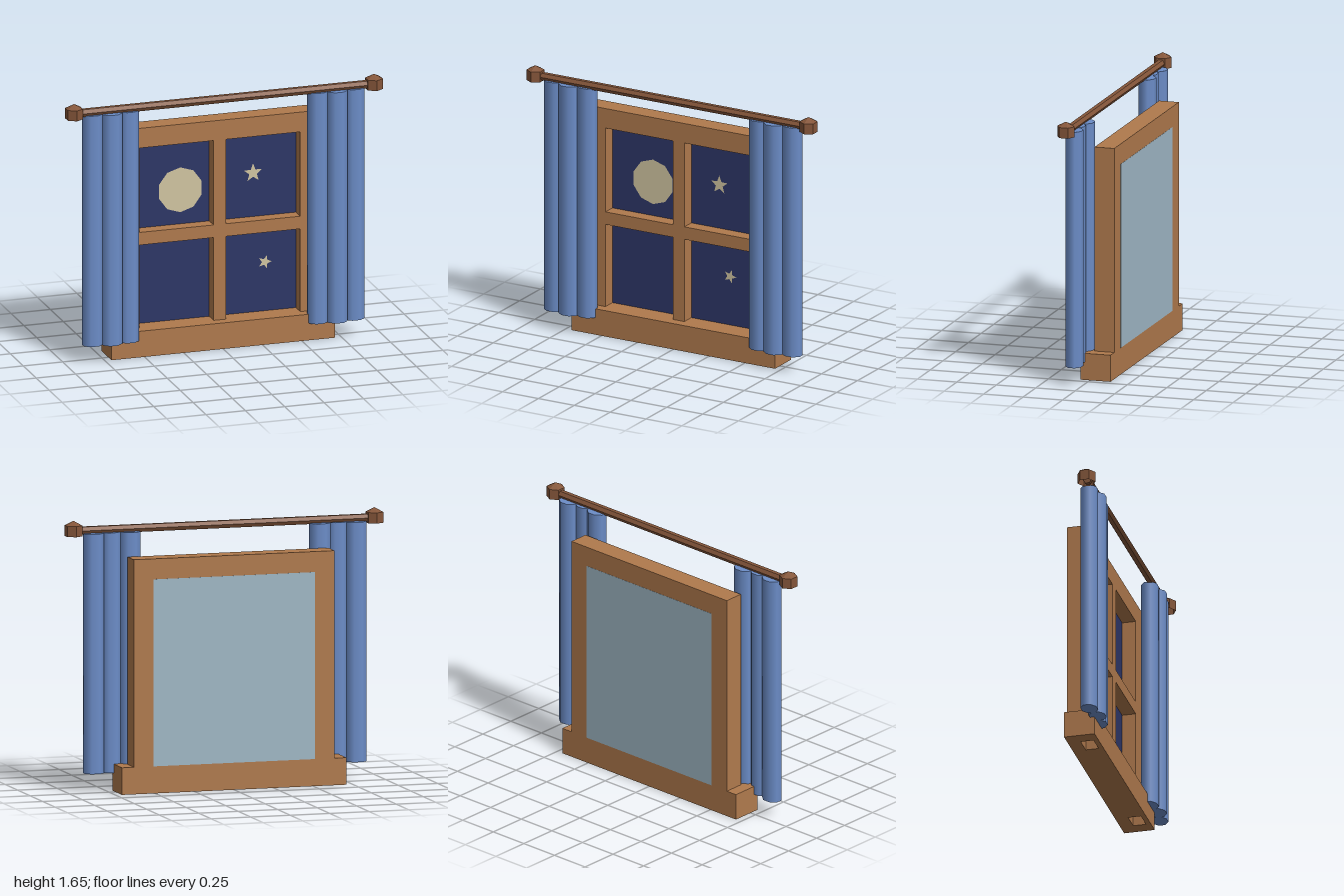
import * as THREE from 'three';

const mat = (name, color, side = THREE.FrontSide) => {
  const m = new THREE.MeshStandardMaterial({ color, side });
  m.name = name;
  return m;
};

const rectPoints = (x0, y0, x1, y1) => [[x0, y0], [x1, y0], [x1, y1], [x0, y1]].map(([x, y]) => new THREE.Vector2(x, y));

// Flat slab with rectangular openings, extruded along +z
function slab(outer, openings, depth) {
  const shape = new THREE.Shape(rectPoints(...outer));
  for (const o of openings) shape.holes.push(new THREE.Path(rectPoints(...o).reverse()));
  return new THREE.ExtrudeGeometry(shape, { depth, bevelEnabled: false });
}

function starGeometry(radius, turn) {
  const pts = [];
  for (let i = 0; i < 10; i++) {
    const a = Math.PI / 2 + turn + (i * Math.PI) / 5;
    const r = i % 2 ? radius * 0.42 : radius;
    pts.push(new THREE.Vector2(r * Math.cos(a), r * Math.sin(a)));
  }
  return new THREE.ShapeGeometry(new THREE.Shape(pts));
}

export function createModel() {
  const group = new THREE.Group();
  const wood = mat('frame wood', 0xb07a4d);
  const darkWood = mat('rod wood', 0x85563a, THREE.DoubleSide);
  darkWood.flatShading = true;
  const cloth = mat('curtain blue', 0x6c8dc8);
  const night = mat('night sky', 0x2d3667);
  const cream = mat('moon cream', 0xd2c6a2);
  const backBlue = mat('back pane', 0xa0b8c6);

  const add = (name, geometry, material, x = 0, y = 0, z = 0, parent = group) => {
    const mesh = new THREE.Mesh(geometry, material);
    mesh.name = name;
    mesh.position.set(x, y, z);
    parent.add(mesh);
    return mesh;
  };

  // Window frame with four openings
  const openings = [];
  for (const [x0, x1] of [[-0.51, -0.04], [0.04, 0.51]])
    for (const [y0, y1] of [[0.165, 0.69], [0.77, 1.305]]) openings.push([x0, y0, x1, y1]);
  add('windowFrame', slab([-0.635, 0.16, 0.635, 1.43], openings, 0.125), wood, 0, 0, -0.13);

  // Sill with two small pockets underneath
  const pockets = [[-0.62, -0.03, -0.5, 0.05], [0.5, -0.03, 0.62, 0.05]];
  const sillBase = slab([-0.71, -0.06, 0.71, 0.13], pockets, 0.11);
  sillBase.rotateX(-Math.PI / 2);
  add('sillBase', sillBase, wood);
  add('sillTop', new THREE.BoxGeometry(1.42, 0.055, 0.19), wood, 0, 0.1375, -0.035);

  // Night sky behind the openings, and the pane on the back
  add('nightSky', new THREE.BoxGeometry(1.04, 1.15, 0.008), night, 0, 0.735, -0.094);
  add('backPane', new THREE.BoxGeometry(1.02, 1.14, 0.008), backBlue, 0, 0.735, -0.127);

  // Moon and stars
  add('moon', new THREE.CircleGeometry(0.142, 10, Math.PI / 2), cream, -0.225, 0.987, -0.086);
  add('largeStar', starGeometry(0.06, 0), cream, 0.237, 1.048, -0.086);
  add('smallStar', starGeometry(0.045, -Math.PI / 10), cream, 0.312, 0.476, -0.086);

  // Curtain rod
  const rod = new THREE.CylinderGeometry(0.026, 0.026, 1.86, 6);
  rod.rotateZ(Math.PI / 2);
  add('curtainRod', rod, darkWood, 0, 1.592, 0.073);

  // Curtain folds: offset eight-sided columns with smooth sides
  const fold = new THREE.CylinderGeometry(1, 1, 1.463, 8, 1, false, Math.PI / 8);
  const apothem = Math.cos(Math.PI / 8);
  fold.scale(0.061 / apothem, 1, 0.049 / apothem);

  for (const side of [-1, 1]) {
    const curtain = new THREE.Group();
    curtain.name = side > 0 ? 'leftCurtain' : 'rightCurtain';
    [[0.83, 0.059], [0.715, 0.081], [0.601, 0.059]].forEach(([x, z], i) =>
      add('fold' + (i + 1), fold, cloth, side * x, 0.8435, z, curtain));
    group.add(curtain);

    // Hollow six-sided finial with a pointed cap
    const finial = new THREE.Group();
    finial.name = side > 0 ? 'leftFinial' : 'rightFinial';
    finial.position.set(side * 0.952, 0, 0.074);
    add('finialBody', new THREE.CylinderGeometry(0.055, 0.055, 0.065, 6, 1, true), darkWood, 0, 1.5925, 0, finial);
    add('finialCap', new THREE.ConeGeometry(0.055, 0.028, 6, 1, true), darkWood, 0, 1.639, 0, finial);
    group.add(finial);
  }
  return group;
}
